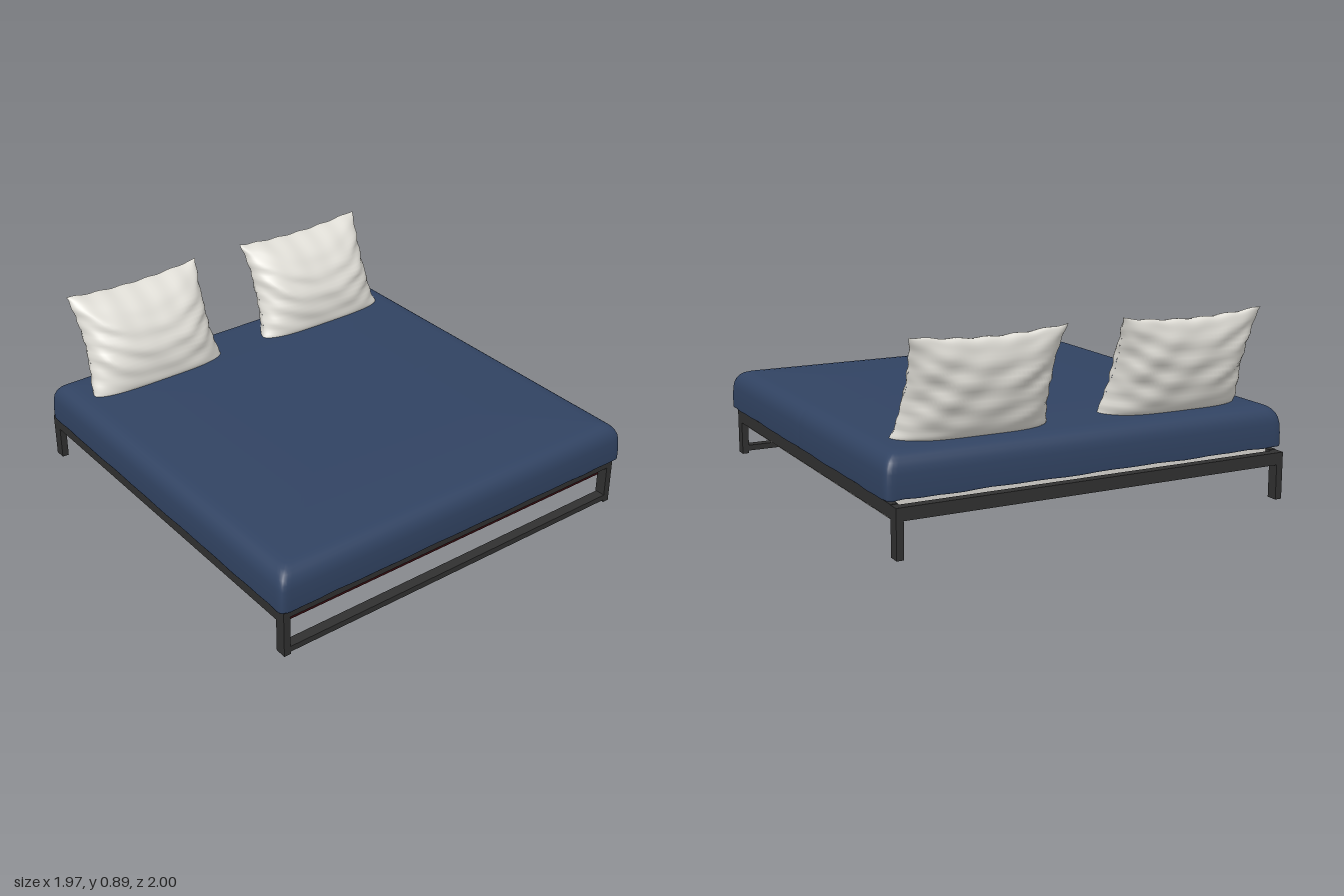
import * as THREE from 'three';
import { ParametricGeometry } from 'three/addons/geometries/ParametricGeometry.js';

const mat = (name, color) => {
  const m = new THREE.MeshStandardMaterial({ color });
  m.name = name;
  return m;
};

export function createModel() {
  const metal = mat('charcoal metal', 0x303030);
  const navy = mat('navy fabric', 0x314362);
  const linen = mat('off-white linen', 0xe0ded7);
  const board = mat('pale board', 0xd9d7d2);
  const maroon = mat('dark maroon', 0x330a0e);

  const model = new THREE.Group();
  model.name = 'bed';
  const add = (name, geometry, material, parent = model) => {
    const mesh = new THREE.Mesh(geometry, material);
    mesh.name = name;
    parent.add(mesh);
    return mesh;
  };
  // Box given by its extents along each axis
  const box = (name, material, [x0, x1], [y0, y1], [z0, z1], parent) =>
    add(name, new THREE.BoxGeometry(x1 - x0, y1 - y0, z1 - z0), material, parent)
      .position.set((x0 + x1) / 2, (y0 + y1) / 2, (z0 + z1) / 2);

  // Metal frame: four legs, rails and a low bar between the front legs
  const frame = new THREE.Group();
  frame.name = 'frame';
  model.add(frame);
  for (const [side, x] of [['left', [0.925, 0.958]], ['right', [-0.962, -0.929]]]) {
    box(side + 'FrontLeg', metal, x, [0, 0.225], [0.925, 0.98], frame);
    box(side + 'BackLeg', metal, x, [0, 0.22], [-1, -0.945], frame);
    box(side + 'Rail', metal, x, [0.163, 0.222], [-0.945, 0.925], frame);
  }
  box('frontRail', metal, [-0.929, 0.925], [0.195, 0.225], [0.93, 0.98], frame);
  box('frontLowBar', metal, [-0.929, 0.925], [0.012, 0.04], [0.93, 0.98], frame);
  box('backRail', metal, [-0.929, 0.925], [0.163, 0.22], [-1, -0.955], frame);

  // Board under the mattress, with a thin maroon front
  box('baseBoard', board, [-0.929, 0.925], [0.135, 0.24], [-0.915, 0.922], );
  box('frontPanel', maroon, [-0.929, 0.925], [0.135, 0.2], [0.922, 0.93]);

  add('mattress', mattressGeometry(), navy);

  // Two pillows leaning at the head
  for (const [side, x] of [['left', 0.49], ['right', -0.508]]) {
    add(side + 'Pillow', pillowGeometry(side === 'left' ? 1 : 4), linen).position.x = x;
  }
  return model;
}

// Rounded-rectangle loops following an [inset, height] profile
function mattressGeometry() {
  const rows = [[1, 0.238], [0.012, 0.238], [0.012, 0.238], [0.002, 0.238], [0, 0.245], [0, 0.30],
    [0.003, 0.345], [0.008, 0.37], [0.017, 0.39], [0.03, 0.407], [0.047, 0.419],
    [0.07, 0.427], [0.11, 0.431], [0.3, 0.435], [0.6, 0.436], [1, 0.436]];
  const radius = 0.03;
  const geometry = new ParametricGeometry((u, v, target) => {
    const [inset, y] = rows[Math.round(v * (rows.length - 1))];
    // Walk round a unit square, with points gathered at the corners
    const t = ((u + 0.125) % 1) * 4;
    const k = Math.floor(t);
    const e = Math.sin((t - k - 0.5) * Math.PI);
    let [x, z] = [[1, -e], [-e, -1], [-1, e], [e, 1]][k];
    const qx = THREE.MathUtils.clamp(x, -1 + radius, 1 - radius);
    const qz = THREE.MathUtils.clamp(z, -1 + radius, 1 - radius);
    const d = Math.hypot(x - qx, z - qz);
    x = qx + (x - qx) / d * radius;
    z = qz + (z - qz) / d * radius;
    // Slightly uneven hem
    const hem = v > 0.15 && v < 0.3 ? 0.003 * Math.sin(u * 190) * Math.sin(u * 71) : 0;
    target.set(x * 0.984 * (1 - inset), y + hem, 0.018 + z * 0.982 * (1 - inset));
  }, 160, rows.length - 1);
  geometry.computeVertexNormals();
  return geometry;
}

// Plump leaning section swept across the width, closing to a seam at both sides
function pillowGeometry(seed) {
  const section = new THREE.CatmullRomCurve3([
    [0.428, -0.70], [0.432, -0.65], [0.50, -0.642], [0.60, -0.652], [0.69, -0.69], [0.77, -0.745],
    [0.83, -0.82], [0.857, -0.90], [0.853, -0.925], [0.80, -0.943], [0.70, -0.942],
    [0.58, -0.918], [0.48, -0.885], [0.432, -0.85], [0.428, -0.70],
  ].map(([y, z]) => new THREE.Vector3(0, y, z)));
  const p = new THREE.Vector3();
  const geometry = new ParametricGeometry((u, v, target) => {
    const s = Math.sin((u - 0.5) * Math.PI);
    section.getPoint(v, p);
    const t = THREE.MathUtils.clamp((p.y - 0.43) / 0.43, 0, 1);
    const fade = Math.pow(Math.max(0, 1 - s ** 4), 0.6);
    const seam = THREE.MathUtils.lerp(-0.71, -0.915, t);
    // Cloth folds, strongest towards the side seams
    const fold = (0.004 + 0.008 * s * s) * fade * Math.sin(Math.PI * t)
      * (Math.sin(13 * t + 9 * s + seed) + Math.sin(29 * t - 7 * s * s + seed * 2));
    const halfWidth = 0.335 + 0.03 * Math.abs(2 * t - 1) ** 2.2 + 0.003 * Math.sin(40 * t + seed);
    target.set(
      s * halfWidth,
      p.y + t * t * (0.027 * s * s + 0.003 * Math.sin(17 * s + seed)),
      seam + (p.z - seam) * fade + fold,
    );
  }, 48, 72);
  geometry.computeVertexNormals();
  return geometry;
}
